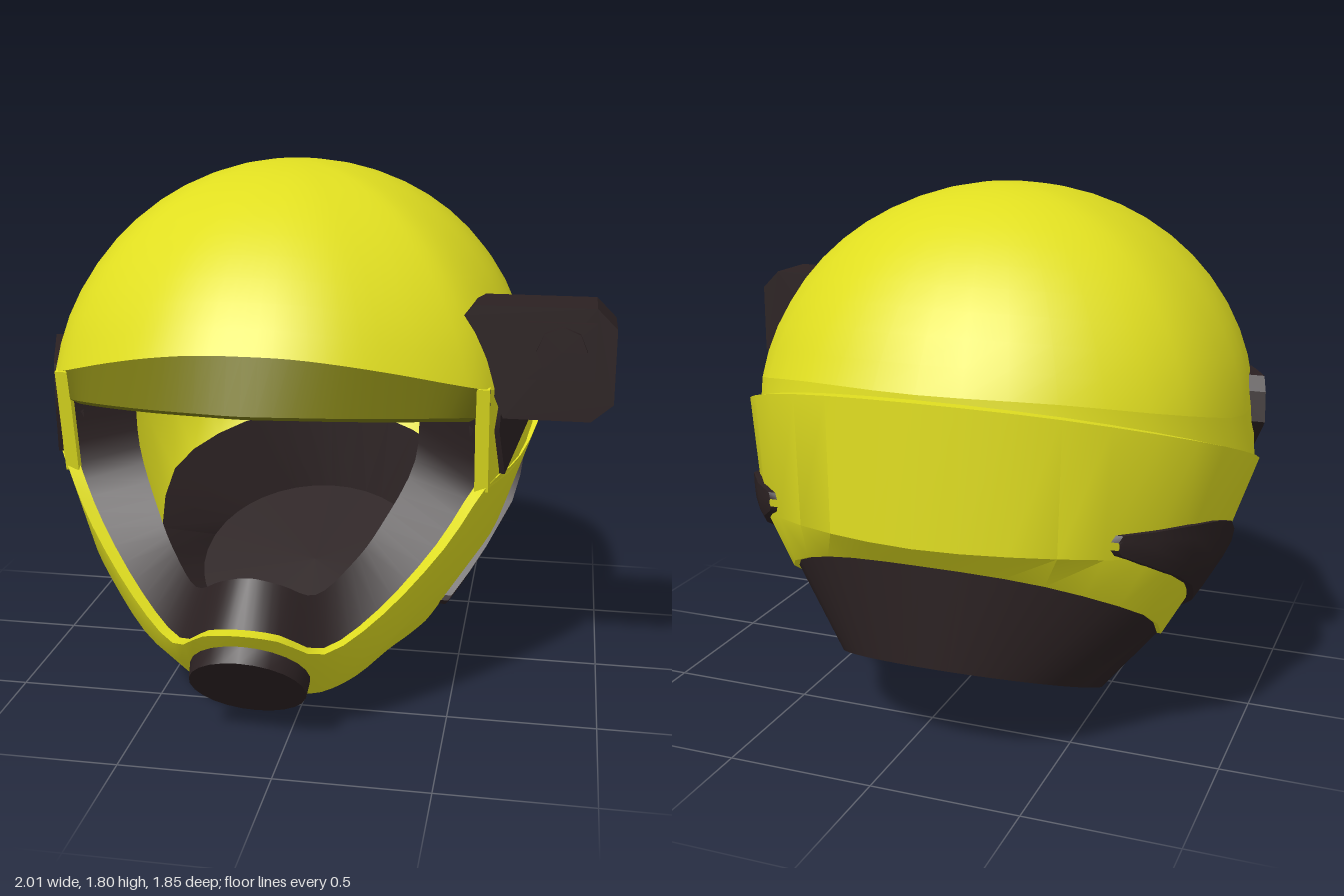
import * as THREE from 'three';
import { toCreasedNormals } from 'three/addons/utils/BufferGeometryUtils.js';

const V = (x, y, z) => new THREE.Vector3(x, y, z);
const N = 30; // samples along half a ring
const flipX = p => V(-p.x, p.y, p.z);

// Smooth half outline, from the front centre round the left side to the back;
// ends on the centre line are continued by their mirror image
function half(pts, n = N) {
  const ctrl = pts.map(p => V(...p));
  const last = ctrl.length - 1;
  const pre = ctrl[0].x === 0 ? [flipX(ctrl[1])] : [];
  const post = ctrl[last].x === 0 ? [flipX(ctrl[last - 1])] : [];
  const all = [...pre, ...ctrl, ...post];
  const curve = new THREE.CatmullRomCurve3(all, false, 'catmullrom', 0.5);
  return Array.from({ length: n + 1 }, (_, i) =>
    curve.getPoint((pre.length + last * i / n) / (all.length - 1)));
}
const ring = h => [...h, ...h.slice(0, -1).reverse().map(flipX)];
const arch = h => [...h.slice(1).reverse().map(flipX), ...h];
// Move an outline towards the vertical axis of the shell
const inset = (row, k, drop = 0) => row.map(p => V(p.x * k, p.y - drop, (p.z + 0.1) * k - 0.1));

// Skin rows of points; rows running downward face outward
function loft(rows, crease = 0.6) {
  const pos = [];
  const tri = (a, b, c) => {
    if (a.distanceTo(b) > 1e-5 && b.distanceTo(c) > 1e-5 && c.distanceTo(a) > 1e-5)
      for (const p of [a, b, c]) pos.push(p.x, p.y, p.z);
  };
  for (let i = 0; i < rows.length - 1; i++) {
    for (let j = 0; j < rows[i].length - 1; j++) {
      const a = rows[i][j], b = rows[i][j + 1], c = rows[i + 1][j], d = rows[i + 1][j + 1];
      tri(a, c, b);
      tri(b, c, d);
    }
  }
  const g = new THREE.BufferGeometry();
  g.setAttribute('position', new THREE.Float32BufferAttribute(pos, 3));
  return toCreasedNormals(g, crease);
}

// Mirrored copy with its corner order restored
function mirrored(geo) {
  const g = geo.index ? geo.toNonIndexed() : geo;
  const p = g.attributes.position;
  const out = [];
  for (let i = 0; i < p.count; i += 3)
    for (const k of [0, 2, 1]) out.push(-p.getX(i + k), p.getY(i + k), p.getZ(i + k));
  const m = new THREE.BufferGeometry();
  m.setAttribute('position', new THREE.Float32BufferAttribute(out, 3));
  return toCreasedNormals(m, 0.6);
}

// Plate drawn in (z, y) and slanted so its outer face lies at x = rule(z)
function sidePlate(pts, thickness, rule) {
  const shape = new THREE.Shape(pts.map(([z, y]) => new THREE.Vector2(-z, y)));
  const g = new THREE.ExtrudeGeometry(shape, { depth: thickness, bevelEnabled: false });
  g.rotateY(Math.PI / 2);
  const p = g.attributes.position;
  for (let i = 0; i < p.count; i++) p.setX(i, p.getX(i) - thickness + rule(p.getZ(i)));
  return toCreasedNormals(g, 0.6);
}

export function createModel() {
  const material = (name, color) => {
    const m = new THREE.MeshStandardMaterial({ color, side: THREE.DoubleSide });
    m.name = name;
    return m;
  };
  const yellow = material('yellow shell', 0xe0de20);
  const olive = material('olive visor', 0x7c7b13);
  const dark = material('dark rubber', 0x2b2122);

  const model = new THREE.Group();
  const helmet = new THREE.Group();
  helmet.name = 'helmet';
  helmet.position.x = -0.12;
  model.add(helmet);
  const add = (name, geo, mat, parent = helmet) => {
    const m = new THREE.Mesh(geo, mat);
    m.name = name;
    parent.add(m);
    return m;
  };
  const addPair = (name, geo, mat) => {
    add(name + 'Left', geo, mat);
    add(name + 'Right', mirrored(geo), mat);
  };

  // Dome: arcs from the crown down to the brim outline
  const brim = half([[0, 1.3, 0.82], [0.15, 1.295, 0.81], [0.31, 1.27, 0.765], [0.475, 1.225, 0.67],
    [0.62, 1.175, 0.56], [0.73, 1.13, 0.43], [0.805, 1.09, 0.2], [0.835, 1.08, -0.12],
    [0.735, 1.16, -0.5], [0.415, 1.235, -0.79], [0, 1.25, -0.885]]);
  const crown = V(0, 1.805, -0.1);
  const domeRow = (t, k) => ring(brim.map(p => {
    const end = THREE.MathUtils.degToRad(60 + 25 * (p.x / 0.835) ** 2), a = end * t;
    const r = Math.sin(a) / Math.sin(end) * k;
    const h = (Math.cos(a) - Math.cos(end)) / (1 - Math.cos(end));
    return V(p.x * r, p.y + (crown.y - (1 - k) - p.y) * h, crown.z + (p.z - crown.z) * r);
  }));
  const domeRows = [];
  for (let i = 0; i <= 12; i++) domeRows.push(domeRow(i / 12, 1));
  for (let i = 12; i >= 0; i--) domeRows.push(domeRow(i / 12, 0.95));
  add('dome', loft(domeRows), yellow);

  // Side skirts between the dome and the lower shell
  const skirtTop = brim.slice(N / 2);
  const skirtLow = half([[0.725, 0.78, 0.39], [0.82, 0.82, 0.18], [0.86, 0.92, -0.12],
    [0.74, 1.06, -0.51], [0.42, 1.17, -0.8], [0, 1.2, -0.89]], N / 2);
  addPair('sideSkirt', loft([skirtTop, skirtLow, inset(skirtLow, 0.95), inset(skirtTop, 0.95)]), yellow);

  // Pillars at each side of the face opening
  const pillar = new THREE.BoxGeometry(0.045, 0.37, 0.03);
  pillar.rotateX(0.175).translate(0.706, 0.955, 0.408);
  addPair('visorPillar', pillar, yellow);

  // Lower shell with the chin guard and raised rear band
  const edge = half([[0, 0.43, 0.91], [0.12, 0.41, 0.885], [0.25, 0.33, 0.78], [0.42, 0.425, 0.65],
    [0.6, 0.61, 0.51], [0.725, 0.79, 0.39], [0.825, 0.84, 0.18], [0.88, 0.95, -0.12],
    [0.775, 1.09, -0.52], [0.44, 1.2, -0.825], [0, 1.235, -0.925]]);
  const middle = half([[0, 0.27, 0.79], [0.12, 0.26, 0.77], [0.25, 0.23, 0.7], [0.4, 0.28, 0.6],
    [0.56, 0.42, 0.47], [0.66, 0.5, 0.34], [0.73, 0.54, 0.15], [0.775, 0.62, -0.12],
    [0.74, 0.71, -0.52], [0.43, 0.77, -0.825], [0, 0.78, -0.925]]);
  const base = half([[0, 0.08, 0.57], [0.1, 0.08, 0.57], [0.2, 0.085, 0.56], [0.31, 0.13, 0.51],
    [0.41, 0.2, 0.43], [0.475, 0.21, 0.3], [0.53, 0.215, 0.13], [0.585, 0.27, -0.12],
    [0.63, 0.5, -0.52], [0.37, 0.65, -0.76], [0, 0.7, -0.855]]);
  const outer = [edge, middle, base];
  const inner = [base, middle, edge].map(r => inset(r, 0.95));
  const shell = add('lowerShell', loft([...outer, ...inner, edge].map(ring)), yellow);

  // Neck seal, tapering to a tilted round base
  const neckTop = inset(base, 0.975);
  const neckRim = neckTop.map(p => {
    const a = Math.atan2(p.x, p.z + 0.1);
    return V(0.45 * Math.sin(a), 0.1755 - 0.1755 * Math.cos(a), -0.42 + 0.415 * Math.cos(a));
  });
  const neckMid = neckRim.map(() => V(0, 0.1755, -0.42));
  add('neckSeal', loft([neckTop, neckRim, neckMid].map(ring), 0.5), dark);

  // Visor strip tucked under the brim
  const stripTop = inset(brim.slice(0, N / 2 + 1), 0.975);
  const stripLow = half([[0, 1.12, 0.845], [0.15, 1.118, 0.825], [0.32, 1.105, 0.76],
    [0.48, 1.085, 0.66], [0.6, 1.065, 0.56], [0.69, 1.035, 0.43]], N / 2);
  add('visorStrip', loft([stripTop, stripLow, inset(stripLow, 0.96, 0.02), inset(stripTop, 0.96)].map(arch)), olive);

  // Face liner round the inside of the opening
  const linerOut = half([[0, 0.4, 0.86], [0.11, 0.38, 0.84], [0.24, 0.31, 0.73], [0.4, 0.41, 0.61],
    [0.58, 0.59, 0.47], [0.69, 0.79, 0.36], [0.69, 1.12, 0.42]], 24);
  const linerIn = half([[0, 0.56, 0.75], [0.1, 0.53, 0.72], [0.2, 0.48, 0.66], [0.3, 0.55, 0.55],
    [0.38, 0.65, 0.45], [0.48, 0.85, 0.33], [0.49, 1.1, 0.33]], 24);
  add('faceLiner', loft([linerIn, linerOut].map(arch)), dark);

  // Round filter on the chin
  const filter = add('chinFilter', toCreasedNormals(new THREE.CylinderGeometry(0.192, 0.197, 0.055, 24), 0.6), dark);
  filter.position.set(0, 0.218, 0.775);
  filter.quaternion.setFromUnitVectors(V(0, 1, 0), V(0, -0.66, 0.75).normalize());

  // Hinge plates on both sides
  addPair('hingePlate', sidePlate([[0.06, 1.175], [0.015, 1.13], [0, 1.03], [0.32, 0.815],
    [0.38, 0.98], [0.36, 1.14], [0.2, 1.16]], 0.1, z => 0.885 - 0.33 * z), dark);

  // Side vents hugging the lower shell: z, upper y, lower y from front to back
  const vent = [[0.21, 0.32, 0.3], [0.195, 0.345, 0.28], [0.155, 0.395, 0.27], [0.09, 0.47, 0.306],
    [-0.02, 0.605, 0.37], [-0.1, 0.68, 0.413], [-0.2, 0.74, 0.47], [-0.36, 0.79, 0.56],
    [-0.515, 0.82, 0.645], [-0.64, 0.828, 0.715], [-0.72, 0.83, 0.765], [-0.73, 0.81, 0.785]];
  const ray = new THREE.Raycaster();
  const ventRow = (t, lift) => vent.map(([z, hi, lo]) => {
    const y = hi + (lo - hi) * t;
    ray.set(V(2, y, z), V(-1, 0, 0));
    return V(ray.intersectObject(shell)[0].point.x + lift, y, z);
  });
  addPair('sideVent', loft([ventRow(0, -0.03), ventRow(0, 0.025), ventRow(0.25, 0.028), ventRow(0.5, 0.028),
    ventRow(0.75, 0.028), ventRow(1, 0.025), ventRow(1, -0.03)]), dark);

  // Side camera with a raised lens
  const camera = new THREE.Group();
  camera.name = 'sideCamera';
  model.add(camera);
  const outline = [[0.515, 1.365], [0.6, 1.15], [0.65, 1.03], [0.93, 1.03], [1, 1.09], [1, 1.335],
    [0.935, 1.4], [0.55, 1.4]].map(p => new THREE.Vector2(...p));
  add('cameraBody', new THREE.ExtrudeGeometry(new THREE.Shape(outline),
    { depth: 0.205, bevelEnabled: false }).translate(0, 0, 0.2), dark, camera);
  add('lensPlate', new THREE.BoxGeometry(0.215, 0.185, 0.04).translate(0.828, 1.262, 0.405), dark, camera);
  add('lens', new THREE.CylinderGeometry(0.08, 0.08, 0.04, 8).rotateX(Math.PI / 2)
    .translate(0.83, 1.265, 0.425), dark, camera);
  return model;
}
